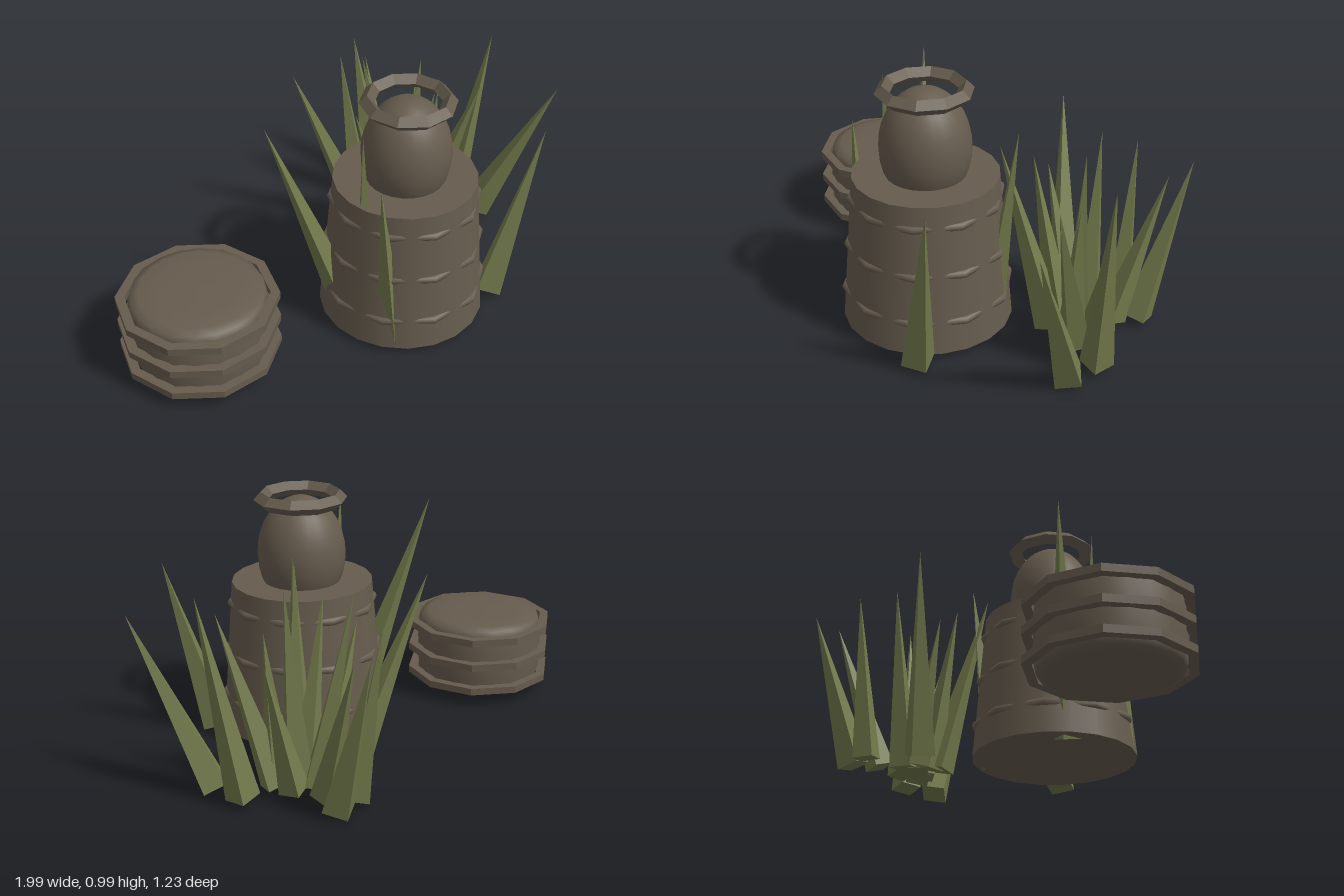
import * as THREE from 'three';

export function createModel() {
  const root = new THREE.Group();
  const clay = new THREE.MeshStandardMaterial({ color: 0x665c4e });
  clay.name = 'brown clay';
  const clayFlat = new THREE.MeshStandardMaterial({ color: 0x665c4e, flatShading: true });
  clayFlat.name = 'brown clay faceted';
  const grass = new THREE.MeshStandardMaterial({ color: 0x737a4c, flatShading: true });
  grass.name = 'grass green';

  const add = (name, geometry, material, x, y, z) => {
    const mesh = new THREE.Mesh(geometry, material);
    mesh.name = name;
    mesh.position.set(x, y, z);
    root.add(mesh);
    return mesh;
  };

  // Ten-sided hoop from a closed [radius, height] section, corners on the x axis
  const hoop = (name, section, x, y, z) => {
    const pts = [...section, section[0]].map(([r, h]) => new THREE.Vector2(r, h));
    add(name, new THREE.LatheGeometry(pts, 10).rotateY(Math.PI / 2), clayFlat, x, y, z);
  };

  // Tapered pedestal
  const px = 0.147, pz = 0.28;
  const bottomR = 0.335, topR = 0.284, baseY = 0.03, topY = 0.635;
  add('pedestal', new THREE.CylinderGeometry(topR, bottomR, topY - baseY, 20), clay,
    px, (baseY + topY) / 2, pz);

  // Bands whose corners break through the pedestal wall
  for (const y of [0.157, 0.35, 0.545]) {
    const wall = bottomR + (topR - bottomR) * (y - baseY) / (topY - baseY);
    const band = new THREE.TorusGeometry(wall * 1.045 - 0.017, 0.017, 8, 10).rotateX(Math.PI / 2);
    add('pedestalBand', band, clay, px, y, pz);
  }

  // Round jar and its rim
  add('jar', new THREE.SphereGeometry(1, 24, 16).scale(0.177, 0.235, 0.177), clay, px, 0.745, pz);
  hoop('jarRim', [[0.127, 0], [0.157, -0.03], [0.187, 0], [0.157, 0.03]], px, 0.97, pz);

  // Low barrel with rounded ends and three hoops
  const bx = -0.685, bz = 0.045;
  const profile = [[0, 0.03], [0.15, 0.032], [0.225, 0.039], [0.258, 0.052], [0.268, 0.08], [0.273, 0.19],
    [0.268, 0.305], [0.258, 0.333], [0.225, 0.346], [0.15, 0.353], [0, 0.355]];
  add('barrel', new THREE.LatheGeometry(profile.map(([r, y]) => new THREE.Vector2(r, y)), 20), clay, bx, 0, bz);
  for (const y of [0.08, 0.19, 0.302]) {
    hoop('barrelHoop', [[0.278, -0.015], [0.315, -0.015], [0.315, 0.015], [0.278, 0.015]], bx, y, bz);
  }

  // Four-sided grass blade from a foot point to a tip, with a given turn
  const up = new THREE.Vector3(0, 1, 0);
  const blade = (fx, fz, tx, ty, tz, r, turn) => {
    const foot = new THREE.Vector3(fx, 0.035, fz);
    const axis = new THREE.Vector3(tx, ty, tz).sub(foot);
    const h = axis.length();
    const geo = new THREE.ConeGeometry(r, h, 4).translate(0, h / 2, 0).rotateY(turn);
    const mesh = add('grassBlade', geo, grass, foot.x, foot.y, foot.z);
    mesh.quaternion.setFromUnitVectors(up, axis.normalize());
  };

  // Blades growing around and through the pedestal: foot x, z, tip x, y, z, radius
  const around = [
    [0.46, 0.48, 0.65, 0.76, 0.53, 0.07],
    [-0.075, 0.21, -0.345, 0.925, 0.04, 0.07],
    [-0.07, 0.32, -0.115, 0.945, 0.33, 0.06],
    [-0.06, 0.46, -0.13, 0.78, 0.455, 0.06],
    [0.34, 0.1, 0.41, 0.855, 0.03, 0.06],
  ];
  // Tuft behind, spreading outward
  const tuft = [
    [0.6, -0.41, 0.625, 0.68, -0.61, 0.07],
    [0.36, -0.22, 0.09, 0.8, -0.36, 0.07],
    [0.49, -0.4, 0.44, 0.72, -0.48, 0.06],
    [0.79, -0.1, 0.925, 0.835, -0.05, 0.065],
    [0.81, 0.04, 0.99, 0.7, 0.285, 0.07],
    [0.62, -0.19, 0.74, 0.55, -0.19, 0.06],
    [0.64, -0.11, 0.755, 0.7, 0.065, 0.065],
    [0.49, -0.08, 0.36, 0.79, 0.08, 0.065],
    [0.47, -0.19, 0.28, 0.62, -0.18, 0.06],
    [0.53, -0.22, 0.43, 0.785, -0.32, 0.065],
    [0.57, -0.31, 0.61, 0.635, -0.51, 0.06],
    [0.56, -0.15, 0.6, 0.8, -0.14, 0.07],
    [0.5, -0.12, 0.35, 0.71, -0.07, 0.06],
    [0.61, -0.1, 0.66, 0.64, -0.09, 0.065],
  ];
  [...around, ...tuft].forEach((b, i) => blade(...b, i * 0.9));

  return root;
}
